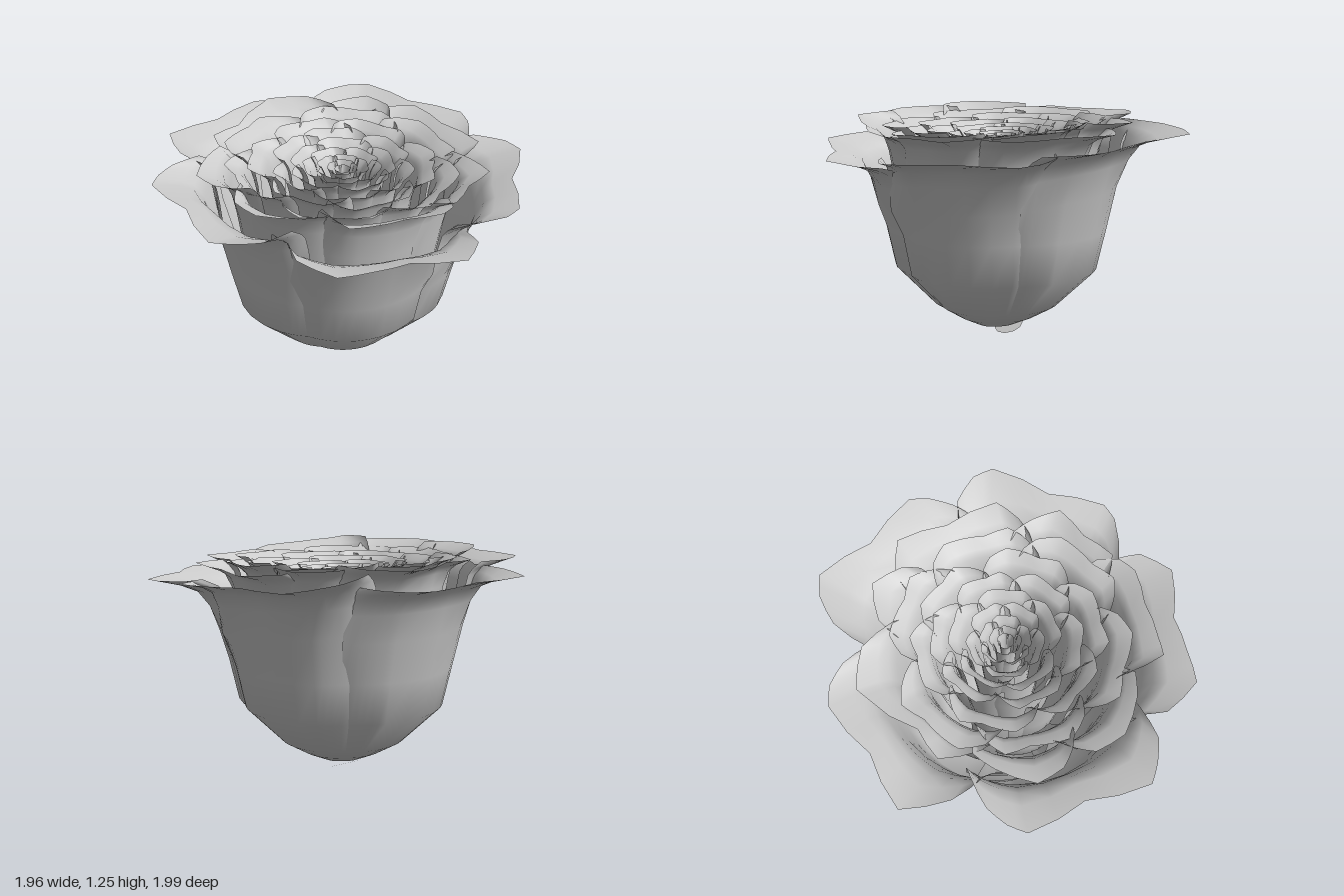
import * as THREE from 'three';

const material = new THREE.MeshStandardMaterial({ color: 0xcccccc, side: THREE.DoubleSide });

// Cup profile shared by all petals: [fraction of wall radius, height]
const CUP = [[0.0, 0.035], [0.18, 0.06], [0.36, 0.12], [0.54, 0.195], [0.855, 0.41], [0.93, 0.64]];
// Rolled lip: [fraction from wall to rim, drop below the rim]
const LIP = [[0, 0.3], [0.16, 0.15], [0.32, 0.07], [0.55, 0.035], [1, 0]];

// One petal: rim is a list of [angle, radius, height], wall is the cup radius
function petal(name, rim, wall, cx = 0, cz = 0) {
  const mid = (rim[0][0] + rim[rim.length - 1][0]) / 2;
  const half = Math.abs(rim[rim.length - 1][0] - rim[0][0]) / 2;
  // split every rim segment in two for a rounder cup
  const columns = [];
  rim.forEach((p, i) => {
    columns.push(p);
    if (i < rim.length - 1) columns.push(p.map((v, k) => (v + rim[i + 1][k]) / 2));
  });
  const rows = CUP.length + LIP.length;
  const positions = [], index = [];
  columns.forEach(([a, radius, top], i) => {
    const u = (a - mid) / half;
    const w = wall * (1 + 0.02 * u); // one edge tucks under its neighbour
    const flat = 1 - 0.09 * u * u; // the cup is flatter than a full circle
    const wide = mid + (a - mid) * 1.15;
    const add = (r, y, angle) => positions.push(cx + r * Math.cos(angle), y, cz + r * Math.sin(angle));
    CUP.forEach(([f, y]) => add(w * f * flat, y, wide));
    LIP.forEach(([f, drop]) => add(w + (radius - w) * f - w * (1 - flat) * 0.6 * (1 - f), top - drop, wide + (a - wide) * f));
    if (i === 0) return;
    for (let j = 0; j < rows - 1; j++) {
      const p = (i - 1) * rows + j, q = i * rows + j;
      index.push(p, p + 1, q, q, p + 1, q + 1);
    }
  });
  const geometry = new THREE.BufferGeometry();
  geometry.setAttribute('position', new THREE.Float32BufferAttribute(positions, 3));
  geometry.setIndex(index);
  geometry.computeVertexNormals();
  const mesh = new THREE.Mesh(geometry, material);
  mesh.name = name;
  return mesh;
}

// Outer petals: wall radius, rim outline in x, z and the lip height at both ends
const OUTER = [
  { wall: 0.655, y: [1.02, 1.13], rim: [[0.7, -0.28], [0.76, -0.21], [0.88, -0.17], [0.98, 0], [0.84, 0.25], [0.8, 0.45], [0.75, 0.62], [0.53, 0.69], [0.4, 0.64], [0.3, 0.66]] },
  { wall: 0.69, y: [1.18, 1.2], rim: [[0.4, 0.62], [0.4, 0.8], [0.33, 0.91], [0.25, 0.99], [-0.08, 0.91], [-0.4, 0.92], [-0.47, 0.84], [-0.52, 0.72], [-0.52, 0.56]] },
  { wall: 0.7, y: [1.18, 1.16], rim: [[-0.35, 0.62], [-0.45, 0.57], [-0.65, 0.6], [-0.9, 0.52], [-0.9, 0.2], [-0.98, -0.12], [-0.93, -0.22], [-0.82, -0.3], [-0.66, -0.33]] },
  { wall: 0.7, y: [1.22, 1.12], rim: [[-0.66, -0.28], [-0.77, -0.5], [-0.77, -0.68], [-0.72, -0.8], [-0.4, -0.85], [-0.1, -1], [0, -0.96], [0.1, -0.87], [0.16, -0.78]] },
  { wall: 0.69, y: [1.14, 1.08], rim: [[0.1, -0.8], [0.13, -0.88], [0.28, -0.98], [0.4, -0.98], [0.6, -0.7], [0.84, -0.5], [0.85, -0.4], [0.74, -0.16]] },
];

// Second whorl, in the same form
const SECOND = [
  { wall: 0.56, y: [1.17, 1.25], rim: [[0.62, -0.2], [0.72, -0.14], [0.755, -0.04], [0.7, 0.15], [0.66, 0.35], [0.63, 0.45], [0.42, 0.45]] },
  { wall: 0.57, y: [1.23, 1.24], rim: [[0.46, 0.46], [0.4, 0.58], [0.25, 0.72], [0.08, 0.73], [0, 0.67], [-0.06, 0.6]] },
  { wall: 0.57, y: [1.25, 1.25], rim: [[0.03, 0.6], [-0.02, 0.67], [-0.1, 0.73], [-0.25, 0.74], [-0.4, 0.58], [-0.46, 0.46]] },
  { wall: 0.57, y: [1.23, 1.25], rim: [[-0.42, 0.46], [-0.62, 0.4], [-0.64, 0.22], [-0.8, -0.06], [-0.82, -0.11], [-0.7, -0.3], [-0.5, -0.35]] },
  { wall: 0.56, y: [1.23, 1.24], rim: [[-0.52, -0.28], [-0.56, -0.4], [-0.5, -0.6], [-0.32, -0.61], [-0.24, -0.56]] },
  { wall: 0.57, y: [1.21, 1.19], rim: [[-0.36, -0.53], [-0.37, -0.6], [-0.27, -0.78], [0, -0.74], [0.3, -0.74], [0.36, -0.6], [0.37, -0.5]] },
  { wall: 0.57, y: [1.2, 1.18], rim: [[0.3, -0.54], [0.42, -0.56], [0.58, -0.54], [0.62, -0.35], [0.7, -0.18], [0.62, -0.08]] },
];

// Inner whorls: petal count, wall radius, rim radius, lip height, first angle in degrees
const WHORLS = [
  [6, 0.47, 0.63, 1.21, 42],
  [6, 0.37, 0.5, 1.195, 10],
  [6, 0.28, 0.39, 1.18, 35],
  [5, 0.2, 0.29, 1.165, 8],
  [5, 0.135, 0.21, 1.155, 44],
  [5, 0.085, 0.14, 1.145, 15],
  [4, 0.05, 0.085, 1.14, 50],
  [3, 0.022, 0.045, 1.13, 20],
];

// Petal outline with two blunt points: [position across, fraction of rim radius]
const OUTLINE = [[-1, 0.8], [-0.82, 0.91], [-0.5, 1], [-0.25, 0.98], [0.1, 0.95], [0.45, 1.01], [0.65, 0.95], [0.85, 0.87], [1, 0.8]];

// A whorl whose petals follow given outlines
function outlinedWhorl(name, petals) {
  const whorl = new THREE.Group();
  whorl.name = name;
  petals.forEach(({ wall, y, rim }) => {
    let last = null;
    const polar = rim.map(([x, z], i) => {
      let a = Math.atan2(z, x);
      while (last !== null && a < last - Math.PI) a += 2 * Math.PI;
      last = a;
      return [a, Math.hypot(x, z), THREE.MathUtils.lerp(y[0], y[1], i / (rim.length - 1))];
    });
    whorl.add(petal('petal', polar, wall));
  });
  return whorl;
}

export function createModel() {
  const rose = new THREE.Group();
  rose.name = 'rose';
  rose.add(outlinedWhorl('outerPetals', OUTER));
  rose.add(outlinedWhorl('secondPetals', SECOND));

  // Inner whorls, tightening and sinking toward a slightly off-centre bud
  WHORLS.forEach(([count, wall, radius, height, start], k) => {
    const whorl = new THREE.Group();
    whorl.name = `innerWhorl${k + 1}`;
    const shift = Math.min(1, (k + 1) / 4);
    for (let i = 0; i < count; i++) {
      const wobble = Math.sin(i * 2.4 + k * 1.7);
      const mid = THREE.MathUtils.degToRad(start + (360 / count) * i + 4 * wobble);
      const half = (Math.PI / count) * 1.14;
      const size = radius * (1 + 0.03 * Math.sin(i * 3.9 + k));
      const rim = OUTLINE.map(([u, f]) => {
        const a = mid + u * half;
        return [a, size * f, height - 0.04 * size * Math.cos(a) - 0.02 * u * wall];
      });
      whorl.add(petal('innerPetal', rim, wall, -0.02 * shift, -0.03 * shift));
    }
    rose.add(whorl);
  });

  // Small scale peeking out under the base
  const scale = new THREE.Mesh(new THREE.CircleGeometry(0.1, 10), material);
  scale.name = 'baseScale';
  scale.geometry.rotateX(-Math.PI / 2).scale(0.8, 1, 1).rotateZ(-0.4);
  scale.position.set(-0.075, 0.031, -0.03);
  rose.add(scale);

  return rose;
}
